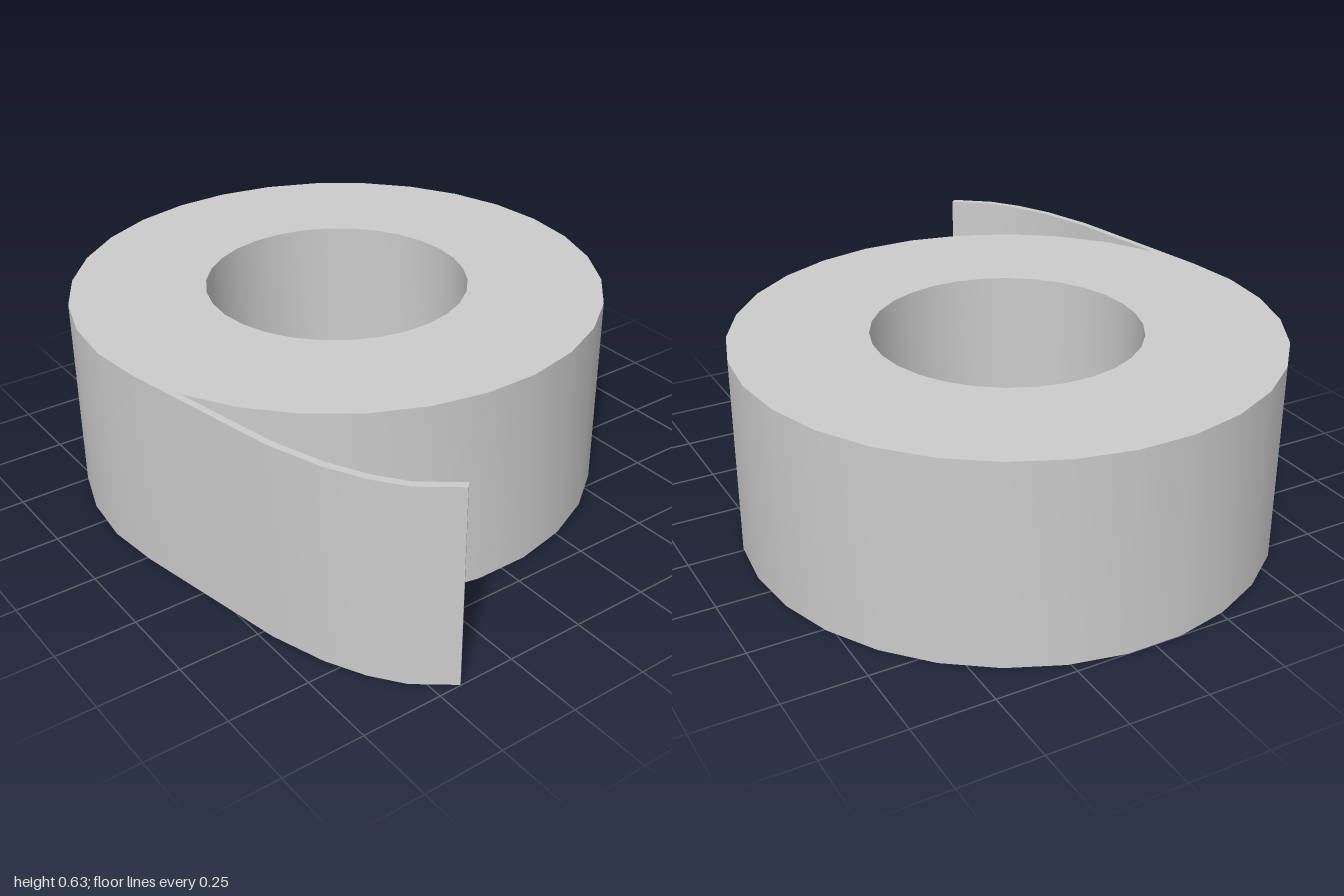
import * as THREE from 'three';
import { toCreasedNormals } from 'three/addons/utils/BufferGeometryUtils.js';

const HEIGHT = 0.63, OUTER = 0.84, INNER = 0.415, SIDES = 30, CENTRE_Z = -0.165;

// Plan point (x, z) in shape space, where shape y becomes -z after laying flat
const plan = (x, z) => new THREE.Vector2(x, -z);

// Corner i of a 30-sided ring, counted from -x towards +z
const corner = (radius, i) => {
  const a = (i / SIDES) * Math.PI * 2;
  return plan(-radius * Math.cos(a), CENTRE_Z + radius * Math.sin(a));
};

export function createModel() {
  const group = new THREE.Group();
  group.name = 'tapeRoll';

  // Roll: round the ring until the strip peels away
  const outline = [];
  for (let i = 2; i <= SIDES + 1; i++) outline.push(corner(OUTER, i));

  // Loose end: out along its outer face, back along its inner face
  const outerFace = [[-0.722, 0.532], [-0.667, 0.702], [-0.608, 0.82], [-0.54, 0.912], [-0.429, 0.998]];
  const innerFace = [[-0.413, 0.981], [-0.523, 0.896], [-0.588, 0.808], [-0.646, 0.693], [-0.7, 0.527]];
  for (const [x, z] of [...outerFace, ...innerFace]) outline.push(plan(x, z));

  // Core hole
  const hole = [];
  for (let i = 0; i < SIDES; i++) hole.push(corner(INNER, i));

  const shape = new THREE.Shape(outline);
  shape.holes.push(new THREE.Path(hole));
  const solid = new THREE.ExtrudeGeometry(shape, { depth: HEIGHT, bevelEnabled: false });
  solid.rotateX(-Math.PI / 2);

  const roll = new THREE.Mesh(
    toCreasedNormals(solid, Math.PI / 6),
    new THREE.MeshStandardMaterial({ color: 0xcccccc })
  );
  roll.name = 'rollWithLooseEnd';
  group.add(roll);
  return group;
}
